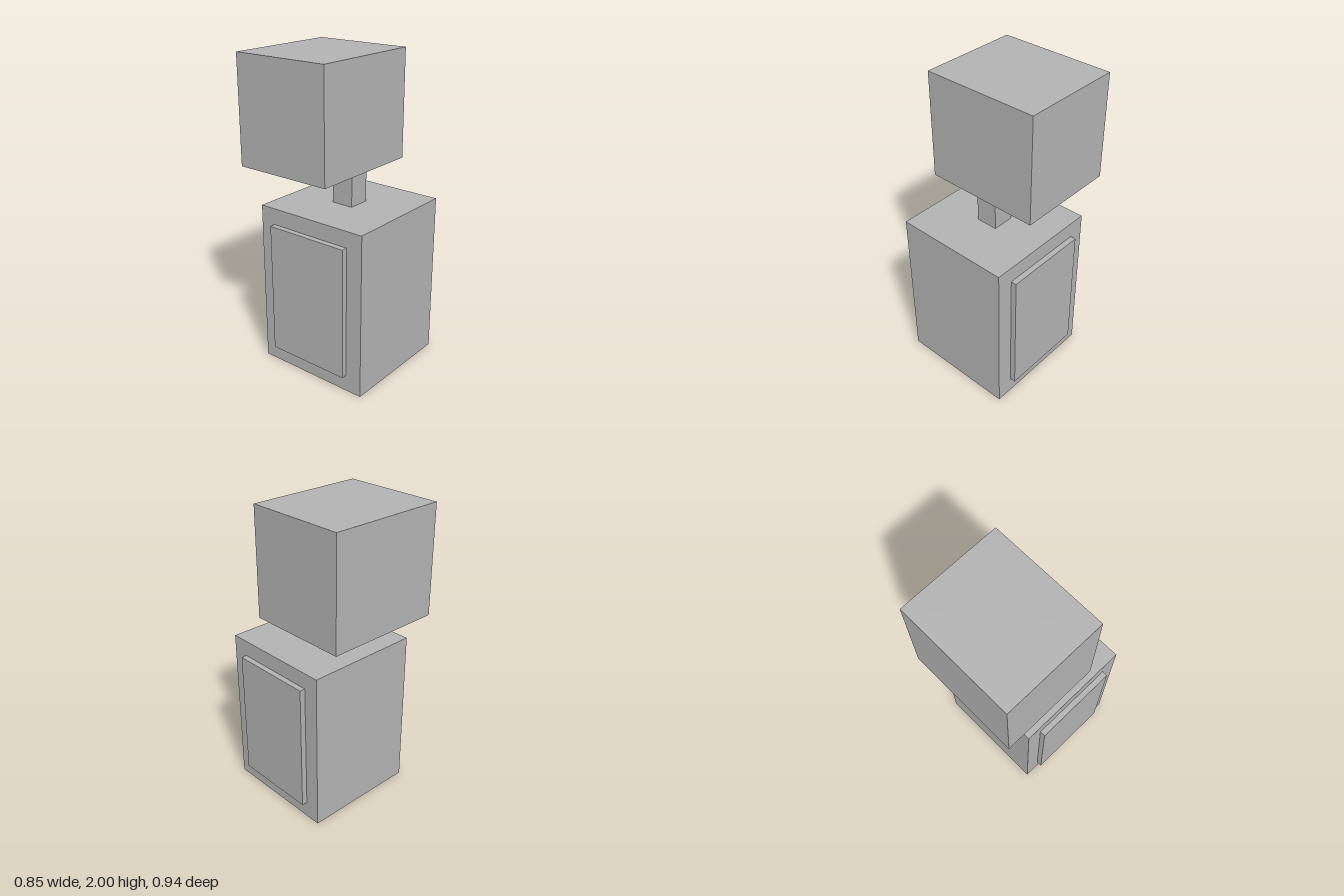
import * as THREE from 'three';

export function createModel() {
  const model = new THREE.Group();
  const grey = new THREE.MeshStandardMaterial({ color: 0xb2b2b2 });
  grey.name = 'plain grey';

  // Box given by its lower and upper corners
  function addBox(name, [x0, y0, z0], [x1, y1, z1]) {
    const mesh = new THREE.Mesh(new THREE.BoxGeometry(x1 - x0, y1 - y0, z1 - z0), grey);
    mesh.position.set((x0 + x1) / 2, (y0 + y1) / 2, (z0 + z1) / 2);
    mesh.name = name;
    model.add(mesh);
  }

  // Main blocks, from the ground up
  addBox('body', [-0.39, 0, -0.308], [0.39, 1.073, 0.472]);
  addBox('neck', [-0.073, 1.073, 0.004], [0.073, 1.292, 0.152]);
  addBox('head', [-0.39, 1.292, -0.472], [0.39, 2, 0.204]);

  // Raised panels on both sides of the body
  addBox('leftPanel', [0.39, 0.11, -0.205], [0.427, 0.968, 0.363]);
  addBox('rightPanel', [-0.427, 0.11, -0.205], [-0.39, 0.968, 0.363]);

  return model;
}
